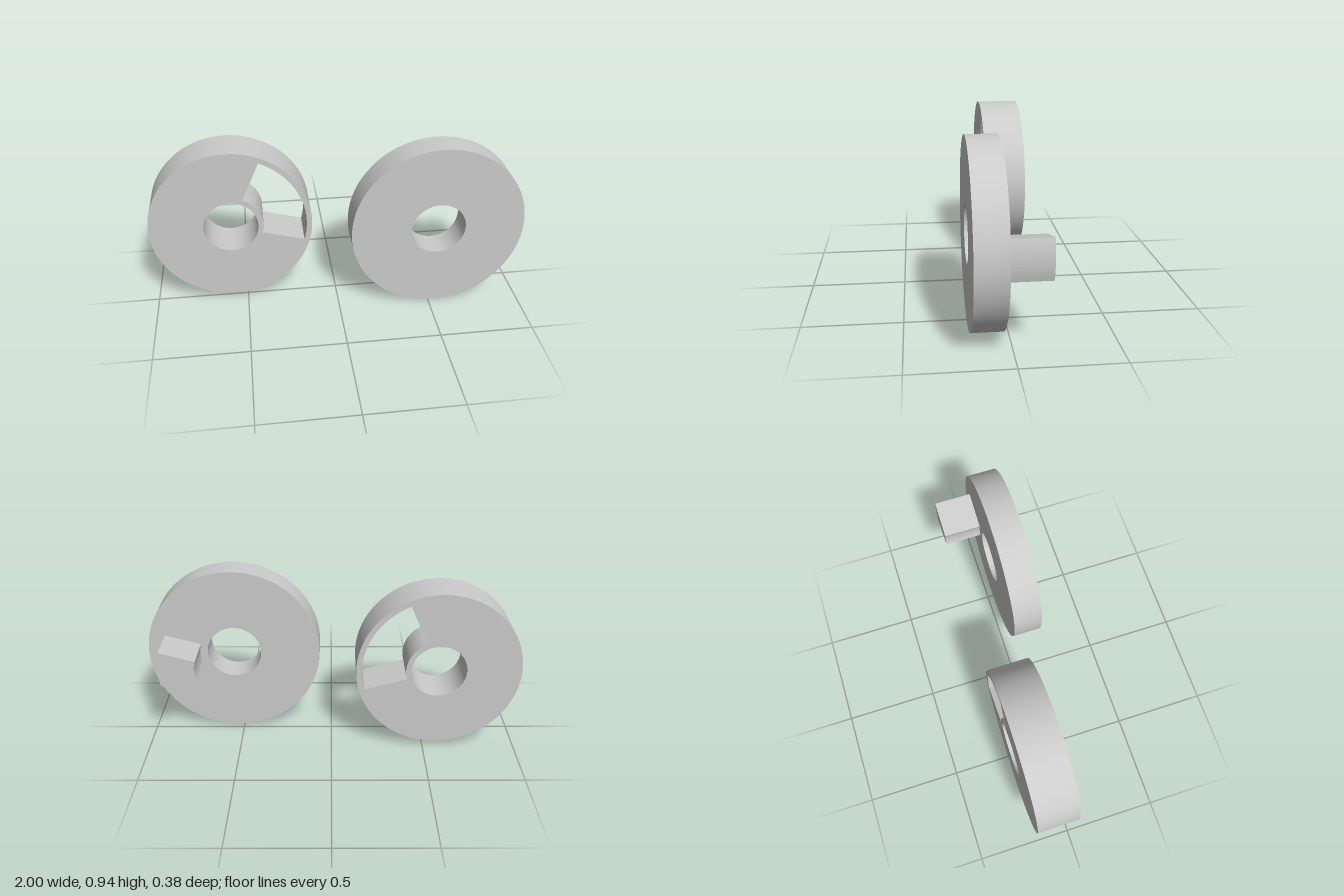
import * as THREE from 'three';
import { toCreasedNormals } from 'three/addons/utils/BufferGeometryUtils.js';

const CENTER_Y = 0.468;
const BORE = 0.146;
const deg = THREE.MathUtils.degToRad;
const material = new THREE.MeshStandardMaterial({ color: 0xcccccc });

// Circle outline as a Shape or Path
const circle = (outline, r) => outline.absarc(0, 0, r, 0, Math.PI * 2, false);

// Ring sector outline between two radii and two angles (degrees)
function sector(outline, inner, outer, from, to) {
  outline.absarc(0, 0, outer, deg(from), deg(to), false);
  outline.absarc(0, 0, inner, deg(to), deg(from), true);
  outline.closePath();
  return outline;
}

// Extrude a shape from z0 to z1, smooth on curves and sharp at edges
function plate(name, shape, z0, z1, curveSegments) {
  const geometry = new THREE.ExtrudeGeometry(shape, { depth: z1 - z0, bevelEnabled: false, curveSegments });
  geometry.translate(0, 0, z0);
  const mesh = new THREE.Mesh(toCreasedNormals(geometry, deg(30)), material);
  mesh.name = name;
  return mesh;
}

export function createModel() {
  const model = new THREE.Group();
  model.name = 'slottedCoupling';

  // Thick ring with a sector slot cut right through
  const slotted = circle(new THREE.Shape(), 0.435);
  slotted.holes.push(circle(new THREE.Path(), BORE), sector(new THREE.Path(), 0.174, 0.406, -15.5, 66.3));
  const slottedRing = plate('slottedRing', slotted, -0.19, 0.033, 64);
  slottedRing.position.set(-0.565, CENTER_Y, 0);

  // Wider, thinner disc carrying the drive peg on its back
  const pegDisc = new THREE.Group();
  pegDisc.name = 'pegDisc';
  pegDisc.position.set(0.532, CENTER_Y, 0);
  const disc = circle(new THREE.Shape(), 0.468);
  disc.holes.push(circle(new THREE.Path(), BORE));
  pegDisc.add(
    plate('disc', disc, 0.033, 0.19, 64),
    plate('drivePeg', sector(new THREE.Shape(), 0.188, 0.385, -15.2, 15.2), -0.172, 0.035, 16)
  );

  model.add(slottedRing, pegDisc);
  return model;
}
